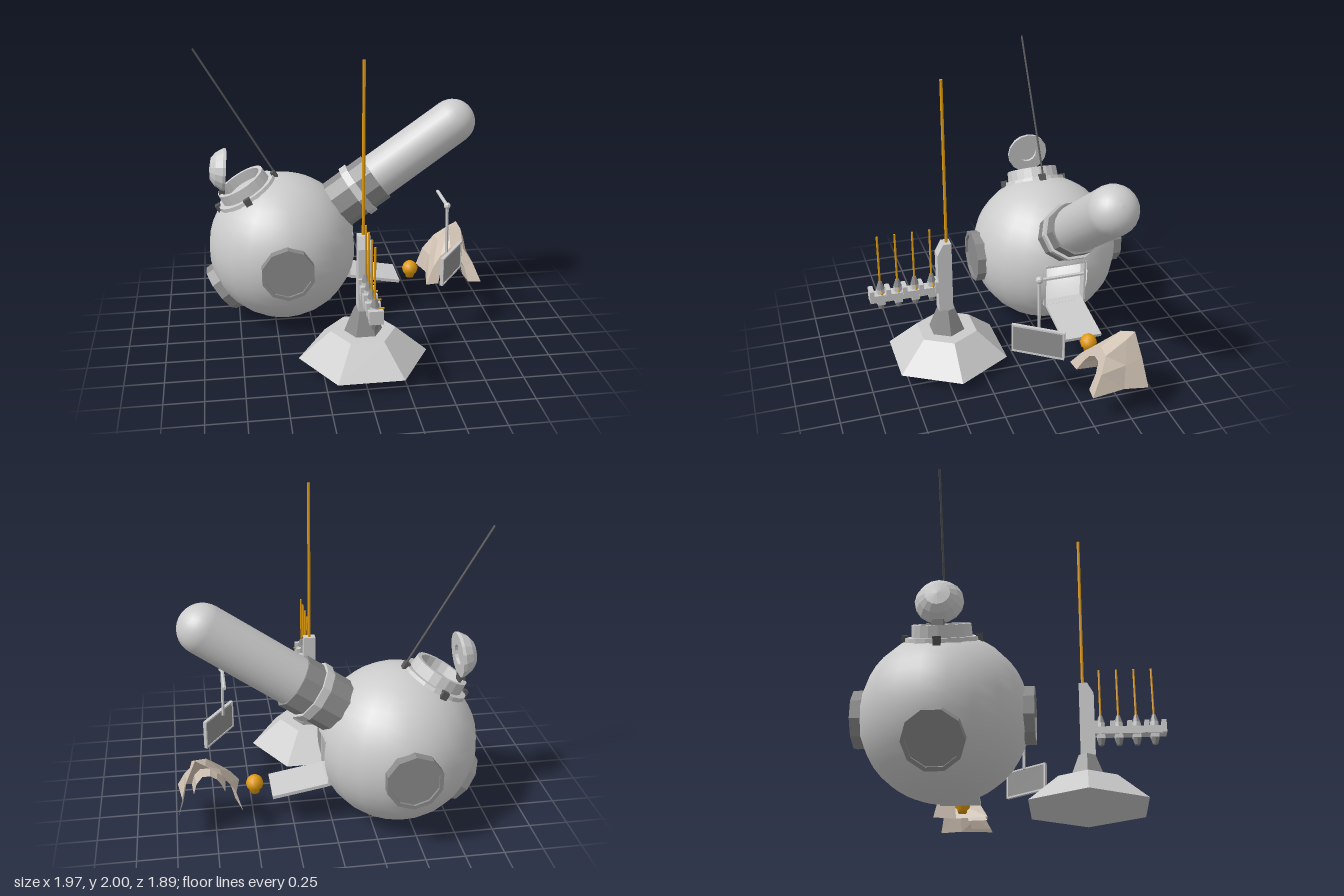
import * as THREE from 'three';

const mat = (color, flatShading = true) =>
  new THREE.MeshStandardMaterial({ color, flatShading, side: THREE.DoubleSide });
const grey = mat(0xcccccc), smoothGrey = mat(0xcccccc, false), dark = mat(0x8c8c8c);
const iron = mat(0x585858), gold = mat(0xe09a10, false), stone = mat(0xcfc1b2);
const RAD = Math.PI / 180;

function add(parent, name, geo, material, x = 0, y = 0, z = 0) {
  const m = new THREE.Mesh(geo, material);
  m.name = name;
  m.position.set(x, y, z);
  parent.add(m);
  return m;
}
function group(parent, name, x = 0, y = 0, z = 0) {
  const g = new THREE.Group();
  g.name = name;
  g.position.set(x, y, z);
  parent.add(g);
  return g;
}
const box = (w, h, d) => new THREE.BoxGeometry(w, h, d);
const cyl = (rTop, rBottom, h, n) => new THREE.CylinderGeometry(rTop, rBottom, h, n);
const lathe = (pts, n) => new THREE.LatheGeometry(pts.map(p => new THREE.Vector2(...p)), n);

// Thin rod between two points
function rod(parent, name, a, b, r, material, n = 6) {
  const p = new THREE.Vector3(...a), q = new THREE.Vector3(...b);
  const m = add(parent, name, cyl(r, r, p.distanceTo(q), n), material);
  m.position.copy(p).add(q).multiplyScalar(0.5);
  m.quaternion.setFromUnitVectors(new THREE.Vector3(0, 1, 0), q.sub(p).normalize());
  return m;
}

// Sheet joining rows of points
function loft(rows) {
  const n = rows[0].length, index = [];
  for (let i = 0; i < rows.length - 1; i++)
    for (let j = 0; j < n - 1; j++) {
      const a = i * n + j, b = a + n;
      index.push(a, b, a + 1, a + 1, b, b + 1);
    }
  const g = new THREE.BufferGeometry();
  g.setAttribute('position', new THREE.Float32BufferAttribute(rows.flat(2), 3));
  g.setIndex(index);
  g.computeVertexNormals();
  return g;
}

function buildPod(root) {
  const pod = group(root, 'pod', -0.43, 0.515, -0.4);
  const R = 0.513, seg = 21, step = 2 * Math.PI / seg, start = Math.PI + step;

  // Round hull in three bands; the middle one leaves a doorway on +x
  [[0, 78, seg, 9], [78, 115, seg - 2, 4], [115, 180, seg, 7]].forEach(([t0, t1, n, rows]) =>
    add(pod, 'hull', new THREE.SphereGeometry(R, n, rows, start, n * step, t0 * RAD, (t1 - t0) * RAD), smoothGrey));

  // Door frame and lowered door
  for (const s of [-1, 1]) add(pod, 'doorJamb', box(0.07, 0.31, 0.015), grey, 0.43, -0.055, s * 0.145);
  add(pod, 'doorLintel', box(0.07, 0.015, 0.3), grey, 0.45, 0.1);
  add(pod, 'doorSill', box(0.07, 0.015, 0.28), grey, 0.43, -0.215);
  const door = add(pod, 'doorRamp', box(0.36, 0.022, 0.27), grey, 0.64, -0.25);
  door.rotation.z = -10 * RAD;

  // Portholes on front, back and lower side
  const porthole = (rx, rz) => {
    const g = group(pod, 'porthole');
    g.rotation.set(rx, 0, rz);
    add(g, 'portholeRim', lathe([[0.18, 0.44], [0.18, 0.54], [0.155, 0.54], [0.155, 0.525]], 10), dark);
    add(g, 'portholeGlass', cyl(0.156, 0.156, 0.06, 10), dark, 0, 0.495);
  };
  porthole(Math.PI / 2, 0);
  porthole(-Math.PI / 2, 0);
  porthole(0, 125.4 * RAD);

  // Slanted barrel with stepped collar
  const barrel = group(pod, 'barrel');
  barrel.rotation.z = (35.4 - 90) * RAD;
  add(barrel, 'collarBase', cyl(0.177, 0.177, 0.21, 10), dark, 0, 0.53);
  add(barrel, 'collarRing', cyl(0.195, 0.195, 0.055, 10), grey, 0, 0.66);
  add(barrel, 'collarTop', cyl(0.177, 0.177, 0.125, 10), dark, 0, 0.75);
  const profile = [[0.16, 0.8]];
  for (let i = 0; i <= 8; i++)
    profile.push([0.157 * Math.cos(i * Math.PI / 16), 1.466 + 0.157 * Math.sin(i * Math.PI / 16)]);
  add(barrel, 'barrelTube', lathe(profile, 24), smoothGrey);

  // Top hatch collar with clamps
  const hatch = group(pod, 'hatch');
  hatch.rotation.z = 30 * RAD;
  add(hatch, 'hatchFlange', cyl(0.218, 0.225, 0.04, 20), grey, 0, 0.465);
  add(hatch, 'hatchCollar',
    lathe([[0.185, 0.45], [0.178, 0.56], [0.15, 0.56], [0.15, 0.45]], 20), grey);
  for (let i = 0; i < 4; i++) {
    const a = i * Math.PI / 2;
    const c = add(hatch, 'hatchClamp', box(0.035, 0.06, 0.045), iron, 0.222 * Math.cos(a), 0.47, 0.222 * Math.sin(a));
    c.rotation.y = -a;
  }

  // Open hatch lid: domed outside, recessed centre inside
  const lid = add(pod, 'hatchLid',
    lathe([[0, -0.0], [0.065, 0], [0.065, -0.02], [0.145, -0.02], [0.145, 0], [0.115, 0.05], [0.075, 0.082], [0, 0.09]], 16),
    grey, -0.395, 0.575);
  lid.rotation.z = 85 * RAD;
  add(pod, 'lidHinge', box(0.04, 0.05, 0.07), iron, -0.405, 0.415);
  rod(root, 'antenna', [-0.465, 1.04, -0.405], [-0.98, 1.92, -0.405], 0.007, iron);
}

function buildBeacon(root) {
  const g = group(root, 'beacon', 0.018, 0, 0.44);
  // Hexagonal float and neck (corners on the x axis)
  const hex = (name, rt, rb, y0, y1, m) => {
    add(g, name, cyl(rt, rb, y1 - y0, 6), m, 0, (y0 + y1) / 2).rotation.y = Math.PI / 6;
  };
  hex('base', 0.21, 0.417, 0.075, 0.255, grey);
  hex('neck', 0.06, 0.125, 0.25, 0.415, dark);

  // Post with a sloped front top
  const s = new THREE.Shape([[0.04, 0.41], [0.04, 0.905], [-0.015, 0.905], [-0.055, 0.83], [-0.055, 0.41]]
    .map(p => new THREE.Vector2(...p)));
  const post = add(g, 'post', new THREE.ExtrudeGeometry(s, { depth: 0.08, bevelEnabled: false }), grey, -0.04);
  post.rotation.y = Math.PI / 2;
  rod(g, 'tallPole', [0, 0.85, -0.015], [0, 2, -0.015], 0.01, gold, 8);

  // Notched arm carrying four small pointed holders
  add(g, 'arm', box(0.075, 0.05, 0.45), grey, 0, 0.575, 0.27);
  for (let i = 0; i < 5; i++)
    add(g, 'armTab', box(0.085, 0.085, 0.03), grey, 0, 0.595, 0.06 + i * 0.108);
  for (let i = 0; i < 4; i++) {
    const h = group(g, 'holder', 0, 0, 0.093 + i * 0.113);
    add(h, 'holderBody', cyl(0.028, 0.028, 0.11, 8), grey, 0, 0.58);
    add(h, 'holderFoot', cyl(0.028, 0.016, 0.04, 8), dark, 0, 0.505);
    add(h, 'holderTip', cyl(0.012, 0.028, 0.05, 8), dark, 0, 0.66);
    add(h, 'holderClip', box(0.06, 0.07, 0.05), grey, 0, 0.56);
    rod(h, 'holderPin', [0, 0.62, 0], [0.058, 0.62, 0], 0.006, gold);
    rod(h, 'shortPole', [0, 0.67, 0], [0, 1.01, 0], 0.007, gold);
  }
}

function buildSign(root) {
  const g = group(root, 'hangingSign');
  rod(g, 'signArm', [0.65, 0.9, 0.005], [0.65, 0.9, -0.28], 0.012, grey);
  add(g, 'signKnob', new THREE.SphereGeometry(0.024, 8, 6), grey, 0.65, 0.9, 0.005);
  rod(g, 'signRod', [0.65, 0.9, 0.005], [0.657, 0.56, 0.005], 0.011, grey);
  const board = group(g, 'signBoard', 0.687, 0.485, 0.02);
  board.rotation.y = 55 * RAD;
  add(board, 'signPanel', box(0.32, 0.18, 0.014), dark);
  for (const s of [-1, 1]) {
    add(board, 'signFrameSide', box(0.012, 0.195, 0.022), grey, s * 0.164);
    add(board, 'signFrameRail', box(0.34, 0.012, 0.022), grey, 0, s * 0.0915);
  }
}

function buildRock(root) {
  // Faceted cave: arches from the tall open back to the low front mouth
  const arch = (pts, z, lean) => pts.map(([x, y]) => [x, y, z - lean * (y - 0.205)]);
  const rows = [
    arch([[0.58, 0.205], [0.62, 0.34], [0.70, 0.45], [0.80, 0.52], [0.86, 0.555], [0.93, 0.40], [0.98, 0.205]], -0.61, -0.17),
    arch([[0.62, 0.205], [0.65, 0.33], [0.71, 0.44], [0.79, 0.53], [0.88, 0.52], [0.92, 0.36], [0.95, 0.205]], -0.46, 0.08),
    arch([[0.58, 0.205], [0.64, 0.31], [0.70, 0.38], [0.78, 0.43], [0.87, 0.42], [0.93, 0.33], [0.98, 0.205]], -0.24, 0.55),
    arch([[0.67, 0.205], [0.69, 0.27], [0.72, 0.33], [0.77, 0.36], [0.83, 0.36], [0.87, 0.30], [0.89, 0.205]], -0.25, 0.5),
    arch([[0.68, 0.205], [0.70, 0.27], [0.73, 0.32], [0.77, 0.35], [0.82, 0.35], [0.86, 0.29], [0.88, 0.205]], -0.38, 0.2),
  ];
  add(root, 'caveRock', loft(rows), stone);
}

export function createModel() {
  const root = new THREE.Group();
  root.name = 'podOutpost';
  buildPod(root);
  buildBeacon(root);
  buildSign(root);
  buildRock(root);
  // Small golden bulb beside the ramp
  add(root, 'bulb', lathe([[0, 0], [0.03, 0], [0.032, 0.02], [0.05, 0.04], [0.056, 0.068], [0.046, 0.098], [0.025, 0.116], [0, 0.121]], 14),
    gold, 0.49, 0.205, -0.4);
  return root;
}
